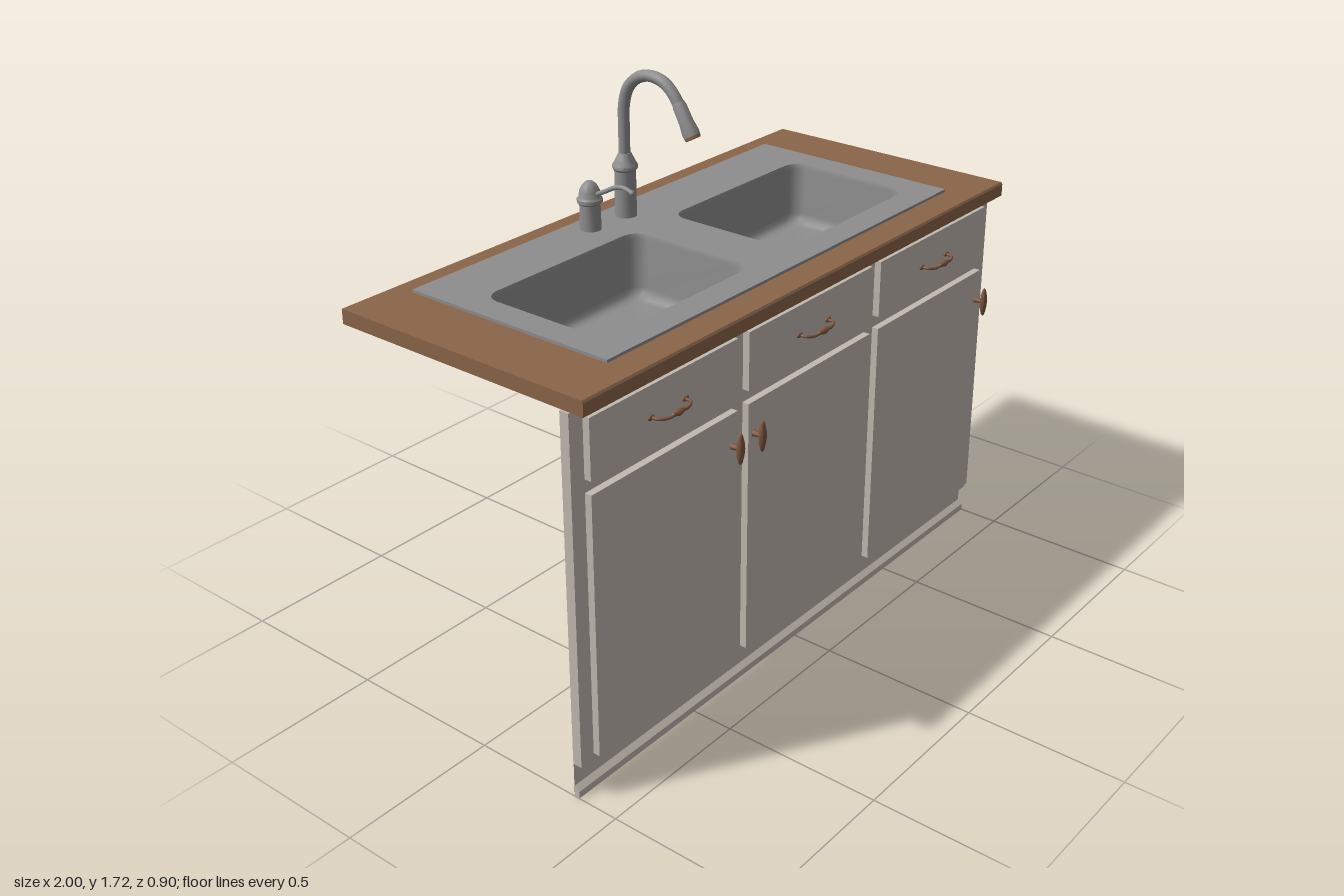
import * as THREE from 'three';
import { toCreasedNormals } from 'three/addons/utils/BufferGeometryUtils.js';

const material = (name, color, side = THREE.FrontSide) => {
  const m = new THREE.MeshStandardMaterial({ color, side });
  m.name = name;
  return m;
};
const V = (x, y, z) => new THREE.Vector3(x, y, z);

export function createModel() {
  const root = new THREE.Group();
  root.name = 'kitchenSinkCabinet';
  const paint = material('cabinetPaint', 0xc2b9b0, THREE.DoubleSide);
  const wood = material('counterWood', 0x8a6549);
  const steel = material('sinkSteel', 0x8e8e8e, THREE.DoubleSide);
  const bronze = material('handleBronze', 0x7d573f);
  const copper = material('drainCopper', 0x9a6c4e);

  const add = (name, geometry, mat, x = 0, y = 0, z = 0, parent = root) => {
    const mesh = new THREE.Mesh(geometry, mat);
    mesh.name = name;
    mesh.position.set(x, y, z);
    parent.add(mesh);
    return mesh;
  };
  // Box given by its limits
  const box = (name, mat, x0, x1, y0, y1, z0, z1) =>
    add(name, new THREE.BoxGeometry(x1 - x0, y1 - y0, z1 - z0), mat,
      (x0 + x1) / 2, (y0 + y1) / 2, (z0 + z1) / 2);
  const lathe = (points, segments = 20) => toCreasedNormals(
    new THREE.LatheGeometry(points.map(p => new THREE.Vector2(p[0], p[1])), segments), 0.6);
  const tube = (points, radius, segments = 28) =>
    new THREE.TubeGeometry(new THREE.CatmullRomCurve3(points), segments, radius, 12);

  // Rectangle outline with rounded corners, as [x, z] points
  const outline = (cx, cz, hw, hd, r, steps = 4) => {
    const pts = [];
    [[1, 1], [-1, 1], [-1, -1], [1, -1]].forEach(([sx, sz], q) => {
      for (let i = 0; i <= steps; i++) {
        const a = (q + i / steps) * Math.PI / 2;
        pts.push([cx + sx * (hw - r) + r * Math.cos(a), cz + sz * (hd - r) + r * Math.sin(a)]);
      }
    });
    return pts;
  };
  // Horizontal slab with holes cut through it
  const slab = (x0, x1, z0, z1, height, holes) => {
    const shape = new THREE.Shape([[x0, -z1], [x1, -z1], [x1, -z0], [x0, -z0]]
      .map(p => new THREE.Vector2(...p)));
    holes.forEach(h => shape.holes.push(new THREE.Path(h.map(p => new THREE.Vector2(p[0], -p[1])))));
    return new THREE.ExtrudeGeometry(shape, { depth: height, bevelEnabled: false }).rotateX(-Math.PI / 2);
  };
  // Profile in (z, y) swept along the full width
  const molding = points => new THREE.ExtrudeGeometry(
    new THREE.Shape(points.map(p => new THREE.Vector2(-p[0], p[1]))),
    { depth: 2, bevelEnabled: false }).rotateY(Math.PI / 2).translate(-1, 0, 0);

  // Cabinet front, toe kick and baseboard
  box('cabinetFront', paint, -1, 1, 0.11, 1.19, 0.35, 0.38);
  add('toeKick', new THREE.PlaneGeometry(2, 0.11), paint, 0, 0.055, 0.351);
  add('baseboard', molding([[0.352, 0.004], [0.368, 0], [0.368, 0.022], [0.352, 0.036]]), paint);

  // Doors and drawers with their hardware
  const pullGeometry = tube([V(-0.068, 0, 0), V(-0.066, 0, 0.025), V(-0.04, -0.003, 0.037),
    V(0, 0, 0.04), V(0.04, -0.003, 0.037), V(0.066, 0, 0.025), V(0.068, 0, 0)], 0.0045);
  const spindle = lathe([[0, -0.03], [0.006, -0.024], [0.007, -0.015], [0.011, 0],
    [0.007, 0.015], [0.006, 0.024], [0, 0.03]], 12).rotateZ(Math.PI / 2);
  const knobGeometry = lathe([[0, -0.05], [0.007, -0.043], [0.013, -0.02], [0.015, 0],
    [0.013, 0.02], [0.007, 0.043], [0, 0.05]], 14).scale(1, 1, 0.75);
  [[-0.95, -0.375], [-0.3, -0.275], [0.345, 0.928]].forEach(([x, knobX], i) => {
    box('door' + (i + 1), paint, x, x + 0.6, 0.13, 0.945, 0.38, 0.402);
    box('drawer' + (i + 1), paint, x, x + 0.6, 0.985, 1.165, 0.38, 0.402);

    const pull = new THREE.Group();
    pull.name = 'drawerPull' + (i + 1);
    pull.position.set(x + 0.3, 1.075, 0.402);
    root.add(pull);
    add('pullBow', pullGeometry, bronze, 0, 0, 0, pull);
    add('pullGrip', spindle, bronze, 0, 0, 0.039, pull);
    for (const s of [-1, 1]) {
      add('pullEnd', new THREE.SphereGeometry(1, 10, 8).scale(0.014, 0.008, 0.005),
        bronze, s * 0.07, 0, 0.004, pull);
    }

    const knob = new THREE.Group();
    knob.name = 'doorKnob' + (i + 1);
    knob.position.set(knobX, 0.845, 0.402);
    root.add(knob);
    add('knobGrip', knobGeometry, bronze, 0, 0, 0.031, knob);
    add('knobStem', new THREE.CylinderGeometry(0.006, 0.01, 0.026, 12).rotateX(Math.PI / 2),
      bronze, 0, 0, 0.013, knob);
  });

  // Countertop with a cut-out and a softened front edge
  add('countertop', slab(-1, 1, -0.45, 0.418, 0.045,
    [[[-0.77, -0.34], [0.77, -0.34], [0.77, 0.3], [-0.77, 0.3]]]), wood, 0, 1.195);
  add('counterNosing', molding([[0.418, 1.195], [0.43, 1.195], [0.43, 1.234], [0.425, 1.24], [0.418, 1.24]]), wood);

  // Sink deck and two bowls
  const bowlX = [-0.403, 0.4], bowlZ = 0.026, hw = 0.315, hd = 0.22;
  add('sinkDeck', slab(-0.805, 0.805, -0.382, 0.335, 0.009,
    bowlX.map(x => outline(x, bowlZ, hw, hd, 0.05))), steel, 0, 1.241);

  const bowlGeometry = () => {
    // Inset, height and corner radius of each cross-section
    const rings = [[0, 1.25, 0.05], [0.004, 1.235, 0.05], [0.012, 1.085, 0.05], [0.017, 1.066, 0.047],
      [0.028, 1.054, 0.042], [0.046, 1.05, 0.035], [0.18, 1.047, 0.02]];
    const pos = [], idx = [];
    rings.forEach(([d, y, r]) => outline(0, 0, hw - d, hd - d, r)
      .forEach(([x, z]) => pos.push(x, y, z)));
    const n = pos.length / 3 / rings.length;
    for (let k = 0; k < rings.length - 1; k++) {
      for (let i = 0; i < n; i++) {
        const a = k * n + i, b = k * n + (i + 1) % n;
        idx.push(a, b, a + n, b, b + n, a + n);
      }
    }
    const center = pos.length / 3, last = center - n;
    pos.push(0, 1.046, 0);
    for (let i = 0; i < n; i++) idx.push(last + i, last + (i + 1) % n, center);
    const g = new THREE.BufferGeometry();
    g.setAttribute('position', new THREE.Float32BufferAttribute(pos, 3));
    g.setIndex(idx);
    g.computeVertexNormals();
    return g;
  };
  bowlX.forEach((x, i) => {
    add('sinkBowl' + (i + 1), bowlGeometry(), steel, x, 0, bowlZ);
    add('drain' + (i + 1), new THREE.CylinderGeometry(0.034, 0.034, 0.003, 8), copper, x, 1.0485, bowlZ);
    add('drainFitting' + (i + 1), new THREE.CylinderGeometry(0.034, 0.034, 0.004, 20), steel, x, 1.0445, bowlZ);
  });

  // Gooseneck faucet
  const faucet = new THREE.Group();
  faucet.name = 'faucet';
  root.add(faucet);
  add('faucetBase', lathe([[0, 1.249], [0.034, 1.249], [0.033, 1.395], [0.039, 1.402], [0.039, 1.412],
    [0.034, 1.42], [0.026, 1.436], [0.019, 1.45], [0, 1.45]]), steel, 0, 0, -0.305, faucet);
  add('faucetNeck', tube([V(0, 1.43, -0.306), V(0, 1.52, -0.306), V(0, 1.6, -0.304), V(0, 1.655, -0.286),
    V(0, 1.693, -0.245), V(0, 1.705, -0.195), V(0, 1.693, -0.145), V(0, 1.66, -0.108),
    V(0, 1.62, -0.083)], 0.018, 40), steel, 0, 0, 0, faucet);
  const head = new THREE.Group();
  head.name = 'sprayHead';
  head.position.set(0, 1.548, -0.04);
  head.rotation.x = -0.52;
  faucet.add(head);
  add('sprayBody', lathe([[0, 0.006], [0.025, 0.006], [0.026, 0.02], [0.022, 0.05], [0.021, 0.1],
    [0.018, 0.112], [0, 0.112]]), steel, 0, 0, 0, head);
  add('sprayTip', new THREE.CylinderGeometry(0.025, 0.023, 0.009, 20), copper, 0, 0.002, 0, head);

  // Side lever beside the faucet
  const lever = new THREE.Group();
  lever.name = 'faucetLever';
  lever.position.set(-0.155, 0, -0.31);
  root.add(lever);
  add('leverBase', lathe([[0, 1.249], [0.033, 1.249], [0.032, 1.33], [0.039, 1.336], [0.039, 1.347],
    [0.034, 1.353], [0.031, 1.372], [0.022, 1.39], [0.011, 1.4], [0, 1.402]]), steel, 0, 0, 0, lever);
  add('leverArm', tube([V(0, 1.362, 0.02), V(0, 1.382, 0.062), V(0, 1.402, 0.1), V(0, 1.409, 0.135),
    V(0, 1.401, 0.168)], 0.007), steel, 0, 0, 0, lever);
  add('leverTip', new THREE.SphereGeometry(0.008, 12, 8), steel, 0, 1.401, 0.168, lever);
  return root;
}
